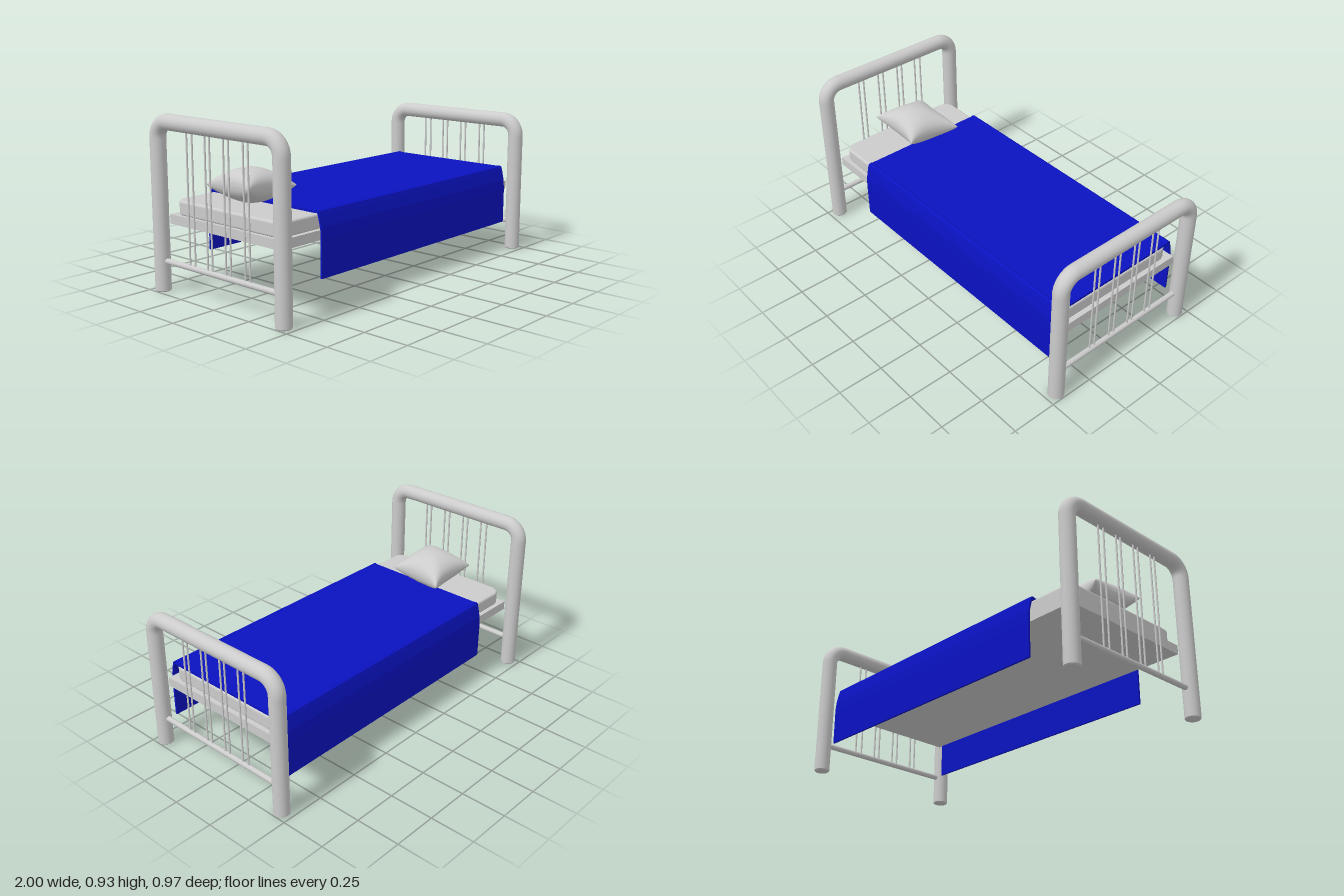
import * as THREE from 'three';

const grey = new THREE.MeshStandardMaterial({ color: 0xcccccc });
const greyThin = new THREE.MeshStandardMaterial({ color: 0xcccccc, side: THREE.DoubleSide });
const blue = new THREE.MeshStandardMaterial({ color: 0x0a12c0, side: THREE.DoubleSide });

function add(parent, name, geometry, material = grey) {
  const mesh = new THREE.Mesh(geometry, material);
  mesh.name = name;
  parent.add(mesh);
  return mesh;
}

// Bent tube end with a lower rail and paired spindles
function bedEnd(name, x, top) {
  const group = new THREE.Group();
  group.name = name;
  group.position.x = x;
  const r = 0.042, w = 0.441, y = top - r, c = 0.085, k = c * 0.45;
  const p = (yy, z) => new THREE.Vector3(0, yy, z);
  const path = new THREE.CurvePath();
  path.add(new THREE.LineCurve3(p(0.006, w), p(y - c, w)));
  path.add(new THREE.CubicBezierCurve3(p(y - c, w), p(y - k, w), p(y, w - k), p(y, w - c)));
  path.add(new THREE.LineCurve3(p(y, w - c), p(y, c - w)));
  path.add(new THREE.CubicBezierCurve3(p(y, c - w), p(y, k - w), p(y - k, -w), p(y - c, -w)));
  path.add(new THREE.LineCurve3(p(y - c, -w), p(0.006, -w)));
  add(group, 'bentTube', new THREE.TubeGeometry(path, 140, r, 24));

  // Chamfered feet close the tube
  for (const s of [1, -1]) {
    add(group, 'foot', new THREE.CylinderGeometry(r, r - 0.006, 0.006, 24)).position.set(0, 0.003, s * w);
  }

  const rail = add(group, 'lowerRail', new THREE.CylinderGeometry(0.015, 0.015, 2 * w, 16));
  rail.rotation.x = Math.PI / 2;
  rail.position.y = 0.162;

  for (const z of [0.22, 0.187, 0.085, 0.05, -0.05, -0.083, -0.178, -0.218]) {
    const h = y - 0.162;
    add(group, 'spindle', new THREE.CylinderGeometry(0.005, 0.005, h, 10)).position.set(0, 0.162 + h / 2, z);
  }
  return group;
}

// Slab with rounded corners in plan and softly bevelled edges
function mattressGeometry(x0, x1, w, y0, y1) {
  const b = 0.012, r = 0.05, a = x0 + b, e = x1 - b, h = w - b;
  const s = new THREE.Shape();
  s.absarc(e - r, h - r, r, 0, Math.PI / 2);
  s.absarc(a + r, h - r, r, Math.PI / 2, Math.PI);
  s.absarc(a + r, r - h, r, Math.PI, Math.PI * 1.5);
  s.absarc(e - r, r - h, r, Math.PI * 1.5, Math.PI * 2);
  const g = new THREE.ExtrudeGeometry(s, {
    depth: y1 - y0 - 2 * b, bevelSize: b, bevelThickness: b, bevelSegments: 4, curveSegments: 10,
  });
  return g.rotateX(-Math.PI / 2).translate(0, y0 + b, 0);
}

// Draped cross-section, swept along the bed
function blanketGeometry(x0, x1) {
  const outer = [[0.362, 0.494], [0.376, 0.498], [0.389, 0.493], [0.396, 0.47],
    [0.408, 0.415], [0.412, 0.36], [0.411, 0.163]];
  const inner = [[0.401, 0.163], [0.401, 0.36], [0.4, 0.412], [0.387, 0.465], [0.38, 0.484], [0.362, 0.482]];
  const half = [...outer, ...inner];
  const flip = half.map(([z, y]) => [-z, y]).reverse();
  const s = new THREE.Shape([...half, ...flip].map(([z, y]) => new THREE.Vector2(z, y)));
  const g = new THREE.ExtrudeGeometry(s, { depth: x1 - x0, bevelEnabled: false, steps: 1 });
  return g.rotateY(Math.PI / 2).translate(x0, 0, -0.003);
}

// One face of the pillow: pinched sides, pointed corners, full middle
function pillowGeometry(side) {
  const g = new THREE.PlaneGeometry(2, 2, 28, 28).rotateX(-Math.PI / 2);
  const pos = g.attributes.position;
  for (let i = 0; i < pos.count; i++) {
    // Gather rows toward the seam, where the surface curves most
    const u = Math.sin(pos.getX(i) * Math.PI / 2), v = Math.sin(pos.getZ(i) * Math.PI / 2);
    const fu = 1 - u * u, fv = 1 - v * v;
    const fold = 1 + 0.04 * Math.sin(5 * Math.atan2(v, u)) * (u * u + v * v) * 0.5;
    const height = 0.091 * Math.pow(Math.max(0, fu * fv), 0.42) * fold;
    pos.setXYZ(i,
      0.164 * u * (1 - 0.18 * fv) + 0.008 * -v,
      side * height - 0.012 * u + 0.008 * v,
      0.162 * v * (1 - 0.16 * fu) - 0.004 * u);
  }
  if (side < 0) g.index.array.reverse();
  g.computeVertexNormals();
  return g;
}

export function createModel() {
  const bed = new THREE.Group();
  bed.name = 'bed';

  bed.add(bedEnd('headboard', -0.957, 0.925));
  bed.add(bedEnd('footboard', 0.957, 0.805));

  add(bed, 'bedBase', new THREE.BoxGeometry(1.86, 0.05, 0.8)).position.y = 0.38;
  add(bed, 'mattress', mattressGeometry(-0.915, 0.907, 0.38, 0.403, 0.481));
  add(bed, 'blanket', blanketGeometry(-0.665, 0.902), blue);

  const pillow = new THREE.Group();
  pillow.name = 'pillow';
  pillow.position.set(-0.727, 0.58, -0.009);
  add(pillow, 'pillowTop', pillowGeometry(1), greyThin);
  add(pillow, 'pillowUnderside', pillowGeometry(-1), greyThin);
  bed.add(pillow);

  return bed;
}
